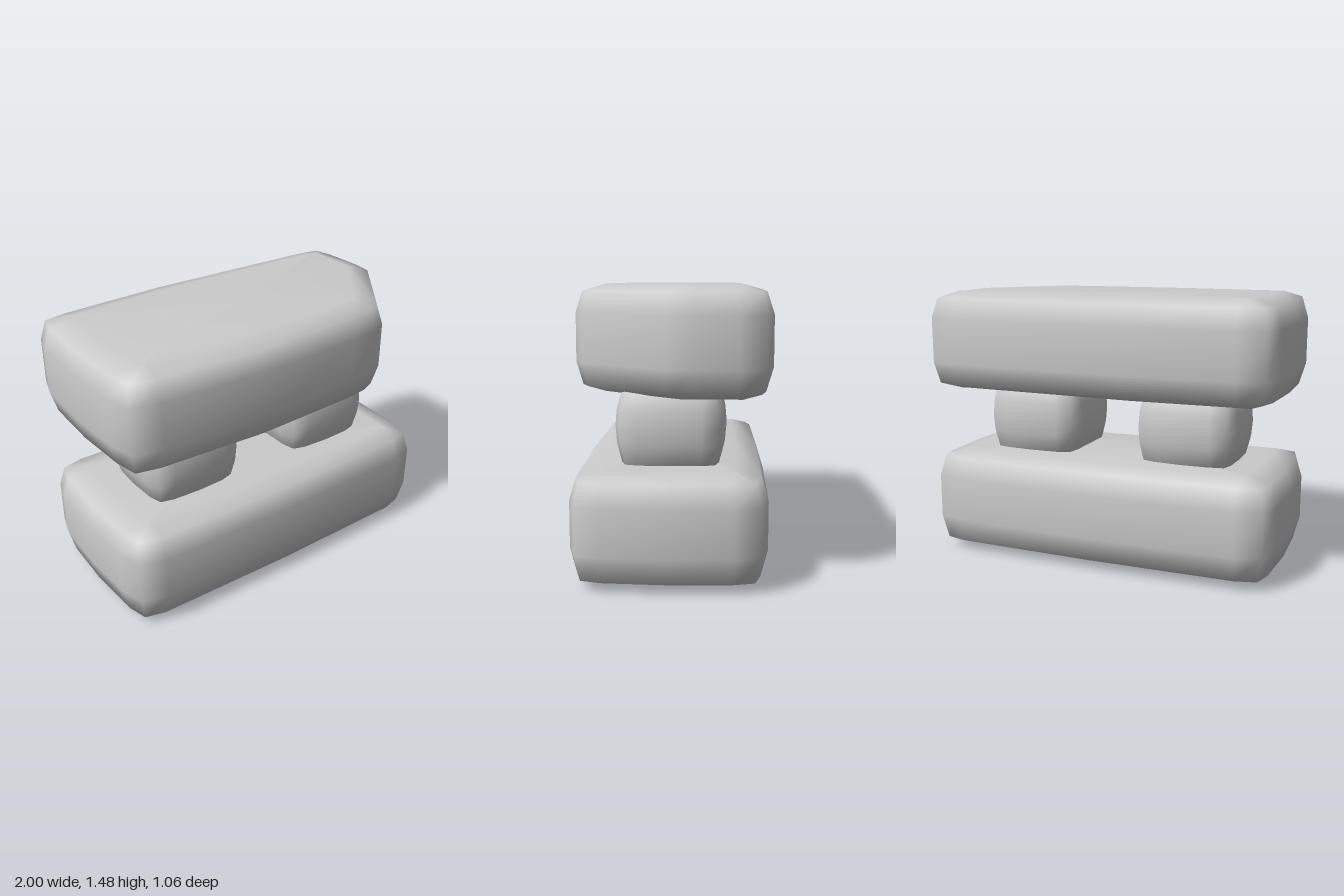
import * as THREE from 'three';

const material = new THREE.MeshStandardMaterial({ color: 0xcccccc });

// Soft stone block: a plan outline [x, z] stacked through levels [y, inset],
// closed by slightly domed caps at bottomY and topY.
function block(name, outline, levels, bottomY, topY) {
  const n = outline.length;
  const positions = [];
  const index = [];
  const normals = outline.map((p, i) => {
    const a = outline[(i + n - 1) % n];
    const b = outline[(i + 1) % n];
    return new THREE.Vector2(b[1] - a[1], a[0] - b[0]).normalize();
  });
  for (const [y, inset] of levels) {
    outline.forEach(([x, z], i) => {
      positions.push(x - normals[i].x * inset, y, z - normals[i].y * inset);
    });
  }
  const bottom = levels.length * n;
  const last = bottom - n;
  positions.push(0, bottomY, 0, 0, topY, 0);
  for (let i = 0; i < n; i++) {
    const j = (i + 1) % n;
    for (let l = 0; l < levels.length - 1; l++) {
      const a = l * n + i, b = l * n + j;
      index.push(a, a + n, b, b, a + n, b + n);
    }
    index.push(bottom, i, j, bottom + 1, last + j, last + i);
  }
  const geometry = new THREE.BufferGeometry();
  geometry.setAttribute('position', new THREE.Float32BufferAttribute(positions, 3));
  geometry.setIndex(index);
  geometry.computeVertexNormals();
  const mesh = new THREE.Mesh(geometry, material);
  mesh.name = name;
  return mesh;
}

// Mirrors a quarter outline (from the x axis to the z axis) into a full loop
function mirrorQuarter(quarter) {
  const half = [...quarter, ...quarter.slice(0, -1).reverse().map(([x, z]) => [-x, z])];
  return [...half, ...half.slice(1, -1).reverse().map(([x, z]) => [x, -z])];
}

export function createModel() {
  const group = new THREE.Group();
  group.name = 'stackedStones';

  // Lower slab
  const lowerOutline = mirrorQuarter([[1, 0], [0.985, 0.32], [0.945, 0.45], [0.81, 0.49], [0, 0.503]]);
  group.add(block('lowerSlab', lowerOutline, [
    [0.022, 0.16], [0.055, 0.035], [0.19, 0], [0.43, 0], [0.545, 0.035], [0.578, 0.16],
  ], 0, 0.598));

  // Two barrel-shaped supports
  const supportOutline = mirrorQuarter([[0.287, 0], [0.28, 0.16], [0.25, 0.25], [0.16, 0.28], [0, 0.287]]);
  for (const side of [1, -1]) {
    const support = block(side > 0 ? 'leftSupport' : 'rightSupport', supportOutline, [
      [0.53, 0.1], [0.575, 0.035], [0.68, 0.008], [0.77, 0], [0.86, 0.008], [0.95, 0.035], [0.99, 0.1],
    ], 0.52, 1.0);
    support.position.x = side * 0.45;
    group.add(support);
  }

  // Upper slab, with its front left corner cut off at an angle
  const upperOutline = [
    [0.985, -0.12], [0.97, 0.01], [0.64, 0.44], [0.54, 0.485], [0.38, 0.505],
    [-0.2, 0.53], [-0.8, 0.5], [-0.95, 0.46], [-0.985, 0.31], [-1, 0],
    [-0.985, -0.34], [-0.945, -0.47], [-0.8, -0.505], [-0.2, -0.532],
    [0.8, -0.505], [0.945, -0.47], [0.975, -0.34],
  ];
  group.add(block('upperSlab', upperOutline, [
    [0.935, 0.16], [0.972, 0.035], [1.09, 0], [1.34, 0], [1.447, 0.035], [1.483, 0.16],
  ], 0.935, 1.482));

  return group;
}
